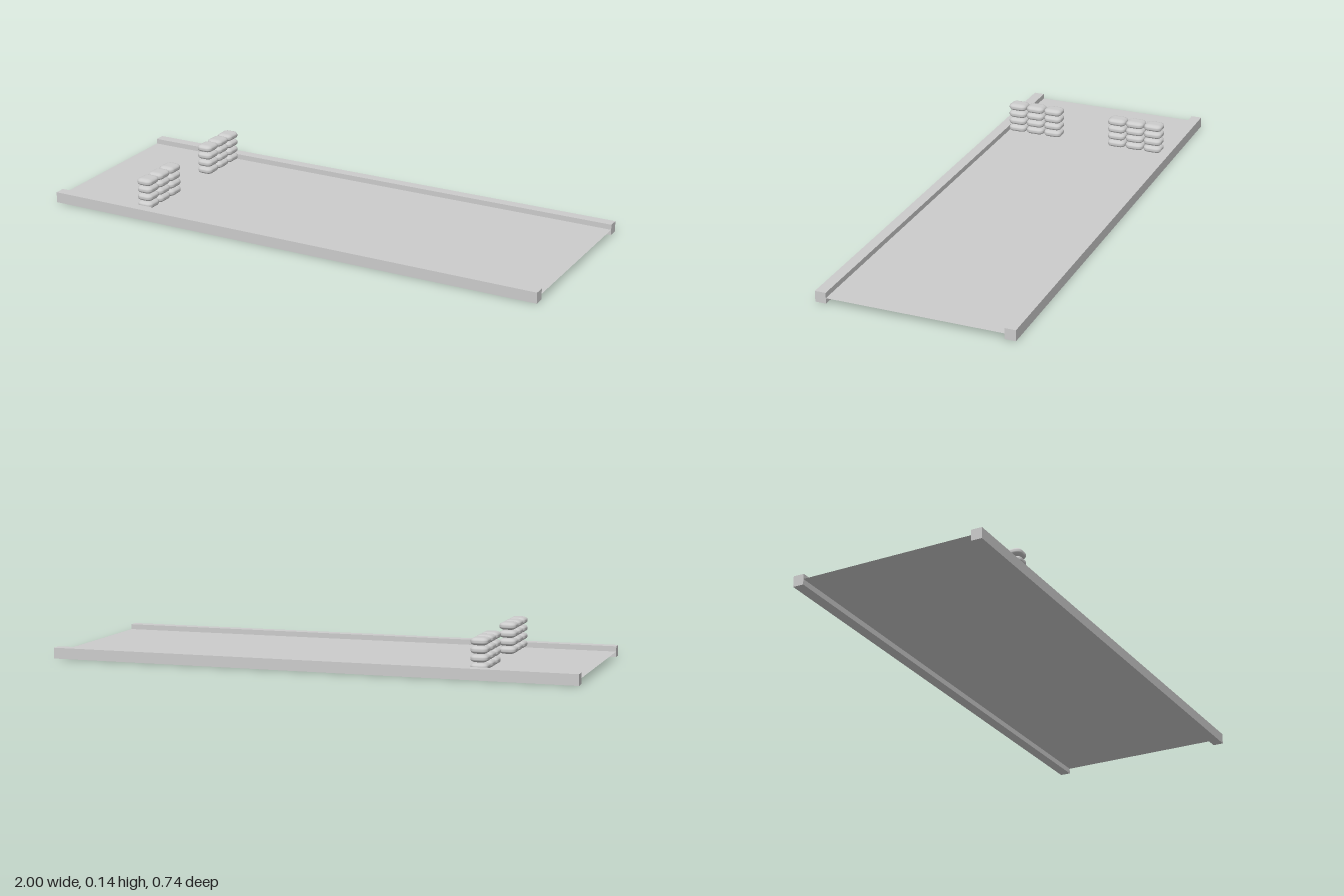
import * as THREE from 'three';
import { RoundedBoxGeometry } from 'three/addons/geometries/RoundedBoxGeometry.js';

const RAIL = 0.041;      // square rail section
const HALF_DEPTH = 0.372;
const DECK_Y = 0.021;

export function createModel() {
  const group = new THREE.Group();
  const material = new THREE.MeshStandardMaterial({ color: 0xcccccc });
  const sheetMaterial = new THREE.MeshStandardMaterial({ color: 0xcccccc, side: THREE.DoubleSide });

  const add = (parent, name, geometry, x, y, z, mat = material) => {
    const mesh = new THREE.Mesh(geometry, mat);
    mesh.name = name;
    mesh.position.set(x, y, z);
    parent.add(mesh);
  };

  // Thin deck spanning between the rails
  const deck = new THREE.PlaneGeometry(2, 2 * (HALF_DEPTH - RAIL / 2)).rotateX(-Math.PI / 2);
  add(group, 'deck', deck, 0, DECK_Y, 0, sheetMaterial);

  // Plump sandbag: a rounded block flattened in height
  const bag = new RoundedBoxGeometry(0.064, 0.05, 0.0745, 4, 0.021);
  bag.scale(1, 0.56, 1);
  const rail = new THREE.BoxGeometry(2, RAIL, RAIL);

  for (const side of [1, -1]) {
    const label = side > 0 ? 'front' : 'back';

    // Long edge rail
    add(group, label + 'Rail', rail, 0, RAIL / 2, side * (HALF_DEPTH - RAIL / 2));

    // Wall of sandbags, three wide and four high
    const wall = new THREE.Group();
    wall.name = label + 'SandbagWall';
    for (let row = 0; row < 4; row++) {
      for (let col = 0; col < 3; col++) {
        add(wall, 'sandbag', bag, -0.63, 0.039 + row * 0.0303, side * (0.138 + col * 0.0762));
      }
    }
    group.add(wall);
  }
  return group;
}
